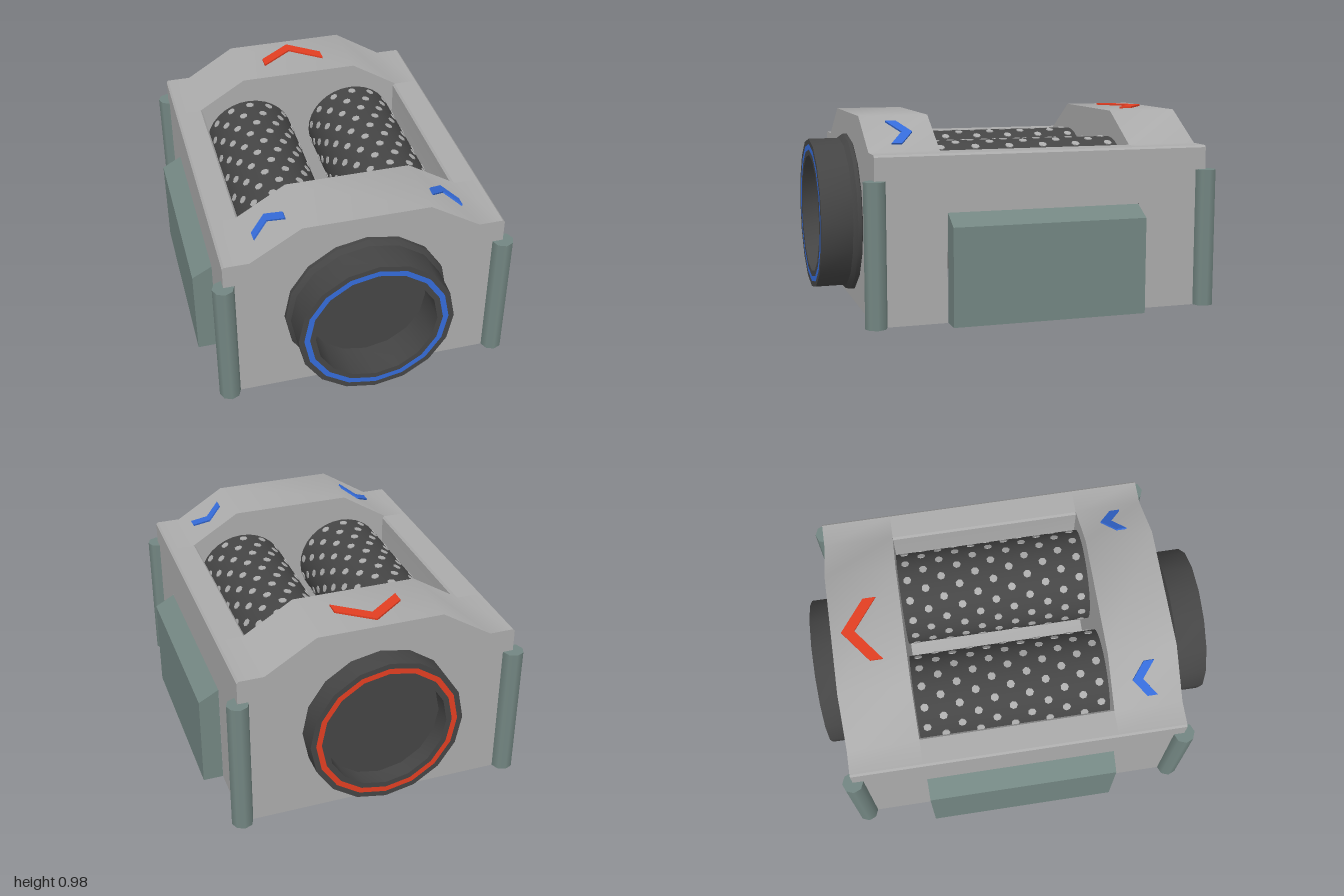
import * as THREE from 'three';
import { mergeGeometries, toCreasedNormals } from 'three/addons/utils/BufferGeometryUtils.js';

const material = (name, color) => {
  const m = new THREE.MeshStandardMaterial({ color, side: THREE.DoubleSide });
  m.name = name;
  return m;
};

// Mirrors a half profile (from the middle outwards) into a full left-to-right one
const mirrored = (half) => [...half.map(([x, y]) => [-x, y]).reverse(), ...half];

// Sheet that follows a profile in x and y, from z0 to z1, smooth over shallow bends
function sheet(points, z0, z1) {
  const pos = [];
  for (let i = 0; i < points.length - 1; i++) {
    const [ax, ay] = points[i], [bx, by] = points[i + 1];
    pos.push(ax, ay, z0, ax, ay, z1, bx, by, z1, ax, ay, z0, bx, by, z1, bx, by, z0);
  }
  const g = new THREE.BufferGeometry();
  g.setAttribute('position', new THREE.Float32BufferAttribute(pos, 3));
  return toCreasedNormals(g, 0.6);
}

const shapeOf = (points) => new THREE.Shape(points.map(([x, y]) => new THREE.Vector2(x, y)));
const plate = (points, z) => new THREE.ShapeGeometry(shapeOf(points)).translate(0, 0, z);

// Wall with a round opening for a port
function portWall(points, radius) {
  const s = shapeOf(points);
  s.holes.push(shapeOf(Array.from({ length: 16 }, (_, i) => {
    const a = i * Math.PI / 8;
    return [radius * Math.cos(a), 0.45 + radius * Math.sin(a)];
  })));
  return new THREE.ShapeGeometry(s);
}

// Turned part along z
const turned = (profile) => toCreasedNormals(
  new THREE.LatheGeometry(profile.map(([r, z]) => new THREE.Vector2(r, z)), 16).rotateX(Math.PI / 2), 0.5);

// Thin chevron lying flat, pointing to -z
function chevron(halfWidth, rise, band) {
  const s = shapeOf([[0, 0], [-halfWidth, -rise], [-halfWidth, -rise - band], [0, -band],
    [halfWidth, -rise - band], [halfWidth, -rise]]);
  return new THREE.ExtrudeGeometry(s, { depth: 0.009, bevelEnabled: false }).rotateX(-Math.PI / 2);
}

export function createModel() {
  const model = new THREE.Group();
  const grey = material('body grey', 0xababab);
  const teal = material('grey green', 0x738682);
  const dark = material('dark grey', 0x454545);
  const blue = material('blue', 0x356bd8);
  const red = material('red', 0xe23e22);
  const add = (name, geometry, mat, parent = model) => {
    const mesh = new THREE.Mesh(geometry, mat);
    mesh.name = name;
    parent.add(mesh);
    return mesh;
  };

  const front = 0.8, back = -0.882, pitFront = 0.455, pitBack = -0.522, panelTop = 0.53;
  const roofHalf = [[0.31, 0.965], [0.56, 0.81], [0.68, 0.81], [0.69, 0.8], [0.69, 0]];
  const troughHalf = [[0.16, 0.15], [0.38, 0.21], [0.52, 0.31], [0.545, 0.42], [0.545, 0.8], [0.555, 0.81]];
  const outline = mirrored(roofHalf);

  // Hollow housing: two raised ends, a trough between them, side walls open behind the panels
  add('frontHood', sheet(outline, pitFront, front), grey);
  add('backHood', sheet(outline, back, pitBack), grey);
  const troughProfile = mirrored([...troughHalf, ...roofHalf.slice(2, 4), [0.69, panelTop]]);
  add('trough', sheet(troughProfile, pitBack, pitFront), grey);
  add('frontWall', portWall(outline, 0.395), grey).position.z = front;
  const backWall = add('backWall', portWall(outline, 0.38), grey);
  backWall.position.z = back;
  backWall.rotation.y = Math.PI;
  const pitOutline = [...mirrored(troughHalf), [0.56, 0.81], [0.31, 0.965], [-0.31, 0.965], [-0.56, 0.81]];
  add('pitFrontWall', plate(pitOutline, pitFront), grey);
  add('pitBackWall', plate(pitOutline, pitBack), grey);

  // Two drums side by side, covered with staggered flat studs
  const length = pitFront - pitBack, middle = (pitFront + pitBack) / 2, radius = 0.24;
  for (const side of [-1, 1]) {
    const drum = new THREE.Group();
    drum.name = side > 0 ? 'leftDrum' : 'rightDrum';
    drum.position.set(side * 0.29, 0.592, middle);
    model.add(drum);
    add('drumBarrel', new THREE.CylinderGeometry(radius, radius, length - 0.004, 32).rotateX(Math.PI / 2), dark, drum);
    const studs = [];
    const rows = 11, perRow = 14;
    for (let r = 0; r < rows; r++) {
      for (let i = 0; i < perRow; i++) {
        studs.push(new THREE.CylinderGeometry(0.021, 0.021, 0.006, 7)
          .translate(0, radius, 0)
          .rotateZ((i + (r % 2) / 2) * Math.PI * 2 / perRow)
          .translate(0, 0, (r - (rows - 1) / 2) * 0.0885));
      }
    }
    add('drumStuds', mergeGeometries(studs), grey, drum);
  }

  // Corner posts (open below) and hollow side panels
  for (const side of [-1, 1]) {
    const label = side > 0 ? 'left' : 'right';
    for (const z of [front, back]) {
      const post = new THREE.Group();
      post.name = label + (z > 0 ? 'FrontPost' : 'BackPost');
      post.position.set(side * 0.69, 0, z);
      model.add(post);
      add('postShaft', new THREE.CylinderGeometry(0.053, 0.053, 0.69, 8, 1, true), teal, post).position.y = 0.345;
      const cap = new THREE.CircleGeometry(0.053, 8).rotateX(-Math.PI / 2);
      add('postCap', cap, teal, post).position.y = 0.69;
    }
    const panel = new THREE.Group();
    panel.name = label + 'Panel';
    panel.position.z = middle;
    if (side < 0) panel.rotation.y = Math.PI;
    model.add(panel);
    const profile = [[0.69, panelTop], [0.79, 0.475], [0.79, 0]];
    const half = length / 2 - 0.003;
    add('panelCover', sheet(profile, -half, half), teal, panel);
    for (const z of [-half, half]) add('panelEnd', plate([[0.69, 0], ...profile], z), teal, panel);
  }

  // Round ports: flanged at the front, plain at the back
  const port = (name, flange, depth, length, ringMaterial) => {
    const group = new THREE.Group();
    group.name = name;
    group.position.y = 0.45;
    model.add(group);
    const base = flange ? [[0.395, 0], [0.405, 0.005], [0.405, 0.025], [0.383, 0.045]] : [[0.383, 0]];
    add('portPipe', turned([...base, [0.383, length], [0.356, length]]), dark, group);
    add('portRing', turned([[0.356, length], [0.328, length]]), ringMaterial, group);
    add('portRecess', turned([[0.328, length], [0.3, length], [0.3, length - depth], [0, length - depth]]), dark, group);
    return group;
  };
  port('frontPort', true, 0.18, 0.2, blue).position.z = front;
  const rear = port('backPort', false, 0.09, 0.118, red);
  rear.position.z = back;
  rear.rotation.y = Math.PI;

  // Arrow markings on the hoods
  add('backArrow', chevron(0.165, 0.125, 0.065), red).position.set(0, 0.966, -0.83);
  const slope = Math.atan2(0.155, 0.25);
  for (const side of [-1, 1]) {
    const arrow = add(side > 0 ? 'leftArrow' : 'rightArrow', chevron(0.09, 0.065, 0.052), blue);
    arrow.position.set(side * 0.435, 0.8885, 0.562);
    arrow.rotation.z = -side * slope;
  }
  return model;
}
